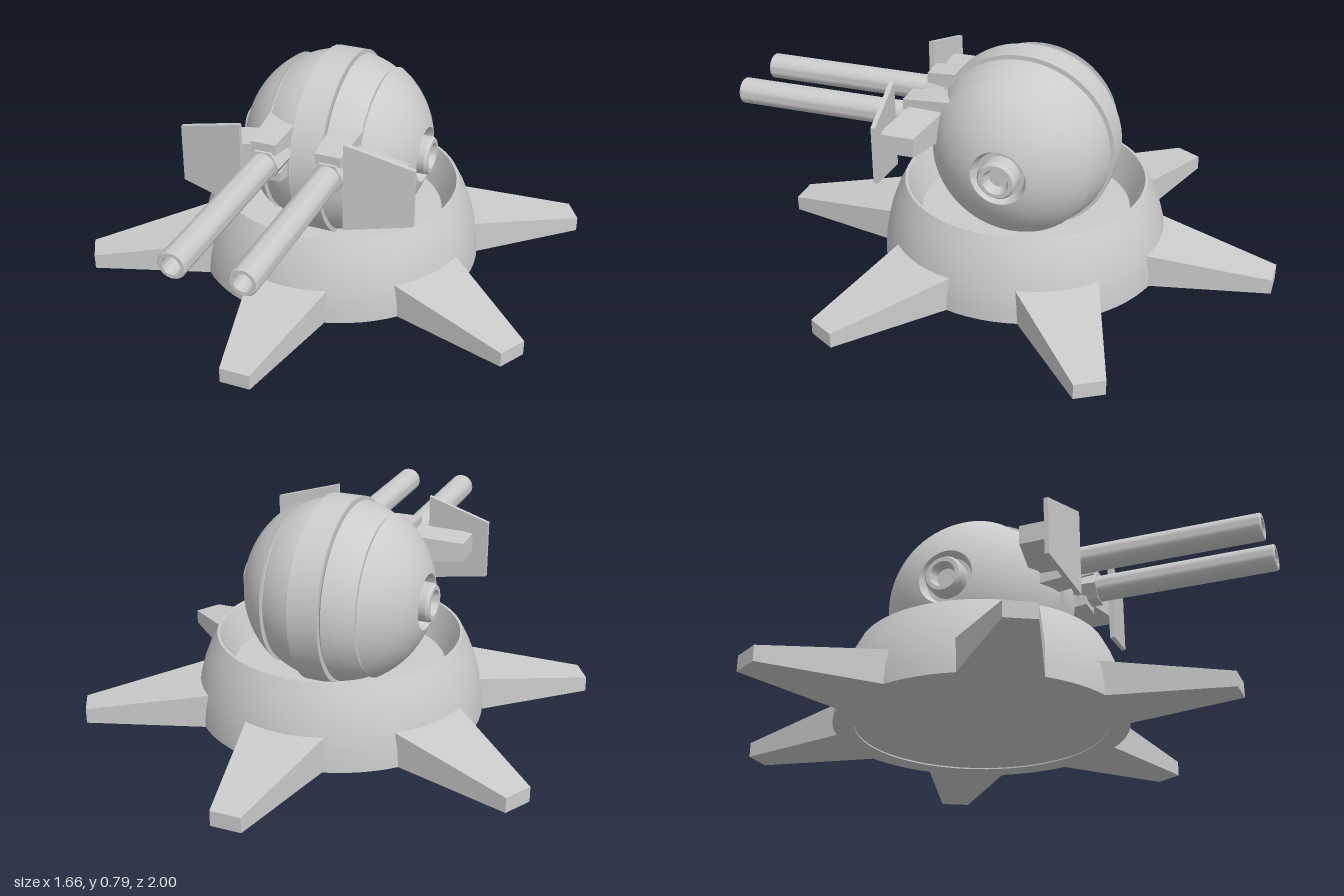
import * as THREE from 'three';
import { toCreasedNormals } from 'three/addons/utils/BufferGeometryUtils.js';

const material = new THREE.MeshStandardMaterial({ color: 0xcccccc });
const CENTER_Z = -0.07;
const BALL_Y = 0.45;

function add(parent, name, geometry) {
  const mesh = new THREE.Mesh(geometry, material);
  mesh.name = name;
  parent.add(mesh);
  return mesh;
}

// Turned part from [radius, height] pairs, with sharp edges kept.
function turned(points, segments = 64) {
  const profile = points.map(([r, y]) => new THREE.Vector2(r, y));
  return toCreasedNormals(new THREE.LatheGeometry(profile, segments), 0.45);
}

// Block running along x between two rectangles { x, y: [low, high], z: [low, high] }.
// side = -1 mirrors it to negative x.
function taper(near, far, side = 1) {
  const geometry = new THREE.BoxGeometry(1, 1, 1);
  const p = geometry.attributes.position;
  for (let i = 0; i < p.count; i++) {
    const end = p.getX(i) * side > 0 ? far : near;
    p.setXYZ(i, side * end.x, end.y[p.getY(i) > 0 ? 1 : 0], end.z[p.getZ(i) > 0 ? 1 : 0]);
  }
  geometry.computeVertexNormals();
  return geometry;
}

function createBase() {
  const base = new THREE.Group();
  base.name = 'base';
  base.position.z = CENTER_Z;
  // Curved outer wall, bevelled rim and sunken floor
  add(base, 'baseRing', turned([
    [0, 0.005], [0.45, 0.005], [0.45, 0], [0.525, 0], [0.522, 0.06], [0.512, 0.12],
    [0.496, 0.18], [0.473, 0.24], [0.445, 0.295], [0.435, 0.295], [0.385, 0.17], [0, 0.16],
  ], 72));
  // Six tapered feet
  for (let i = 0; i < 6; i++) {
    const foot = add(base, 'foot', taper(
      { x: 0.46, y: [0, 0.13], z: [-0.152, 0.152] },
      { x: 0.927, y: [0, 0.055], z: [-0.054, 0.054] },
    ));
    foot.rotation.y = Math.PI / 6 + i * Math.PI / 3;
  }
  return base;
}

function createBall() {
  const ball = new THREE.Group();
  ball.name = 'ball';
  ball.position.set(0, BALL_Y, CENTER_Z);
  // Half profile as [radius, x]: raised middle band, inner bands, raised side shells, hub recess
  const half = [[0.34, 0], [0.34, 0.055], [0.32, 0.055]];
  const arc = (R, x0, x1, n) => {
    for (let i = 0; i <= n; i++) {
      const x = x0 + (x1 - x0) * Math.sin((i / n) * Math.PI / 2);
      half.push([Math.sqrt(R * R - x * x), x]);
    }
  };
  arc(0.333, 0.062, 0.17, 6);
  half.push([0.272, 0.17], [0.272, 0.18]);
  arc(0.345, 0.18, 0.33, 14);
  half.push([0.085, 0.295], [0, 0.295]);
  const mirrored = half.slice(1).reverse().map(([r, x]) => [r, -x]);
  add(ball, 'ballShell', turned([...mirrored, ...half.slice(1)], 64)).rotation.z = -Math.PI / 2;
  // Hollow pivot hub on each side
  for (const side of [1, -1]) {
    const hub = add(ball, 'pivotHub', turned([
      [0.07, 0.28], [0.07, 0.345], [0.062, 0.357], [0.047, 0.357], [0.035, 0.32], [0, 0.32],
    ], 32));
    hub.rotation.z = -side * Math.PI / 2;
  }
  return ball;
}

function createGun(side) {
  const gun = new THREE.Group();
  gun.name = side > 0 ? 'leftGun' : 'rightGun';
  const x = side * 0.118;
  // Hollow barrel
  const barrel = add(gun, 'barrel', turned([
    [0, 0.2], [0.048, 0.2], [0.048, 0.995], [0.044, 1], [0.032, 1], [0.028, 0.9], [0, 0.9],
  ], 32));
  barrel.rotation.x = Math.PI / 2;
  barrel.position.set(x, 0.53, 0);
  // Six-sided collar around the barrel root
  const collar = new THREE.CylinderGeometry(0.06, 0.066, 0.16, 6).toNonIndexed();
  collar.computeVertexNormals();
  collar.rotateY(Math.PI / 6);
  collar.rotateX(Math.PI / 2);
  add(gun, 'collar', collar).position.set(x, 0.53, 0.27);
  // Cover above and cradle below, both rooted in the ball
  const mount = (name, y0, y1, w0, w1, z1) => {
    const geometry = taper(
      { x: 0.1, y: y0, z: [-w0, w0] },
      { x: z1, y: y1, z: [-w1, w1] },
    );
    geometry.rotateY(-Math.PI / 2);
    add(gun, name, geometry).position.x = x;
  };
  mount('mountCover', [0.54, 0.635], [0.575, 0.612], 0.062, 0.046, 0.34);
  mount('mountCradle', [0.43, 0.53], [0.455, 0.49], 0.058, 0.046, 0.31);
  // Bracket reaching out to the shield
  add(gun, 'shieldBracket', taper(
    { x: 0.13, y: [0.48, 0.59], z: [0.18, 0.31] },
    { x: 0.365, y: [0.5, 0.57], z: [0.22, 0.35] },
    side,
  ));
  // Swept shield plate
  add(gun, 'shieldPlate', taper(
    { x: 0.187, y: [0.36, 0.687], z: [0.36, 0.378] },
    { x: 0.425, y: [0.41, 0.622], z: [0.332, 0.348] },
    side,
  ));
  return gun;
}

export function createModel() {
  const model = new THREE.Group();
  model.name = 'twinGunTurret';
  model.add(createBase(), createBall(), createGun(1), createGun(-1));
  return model;
}
